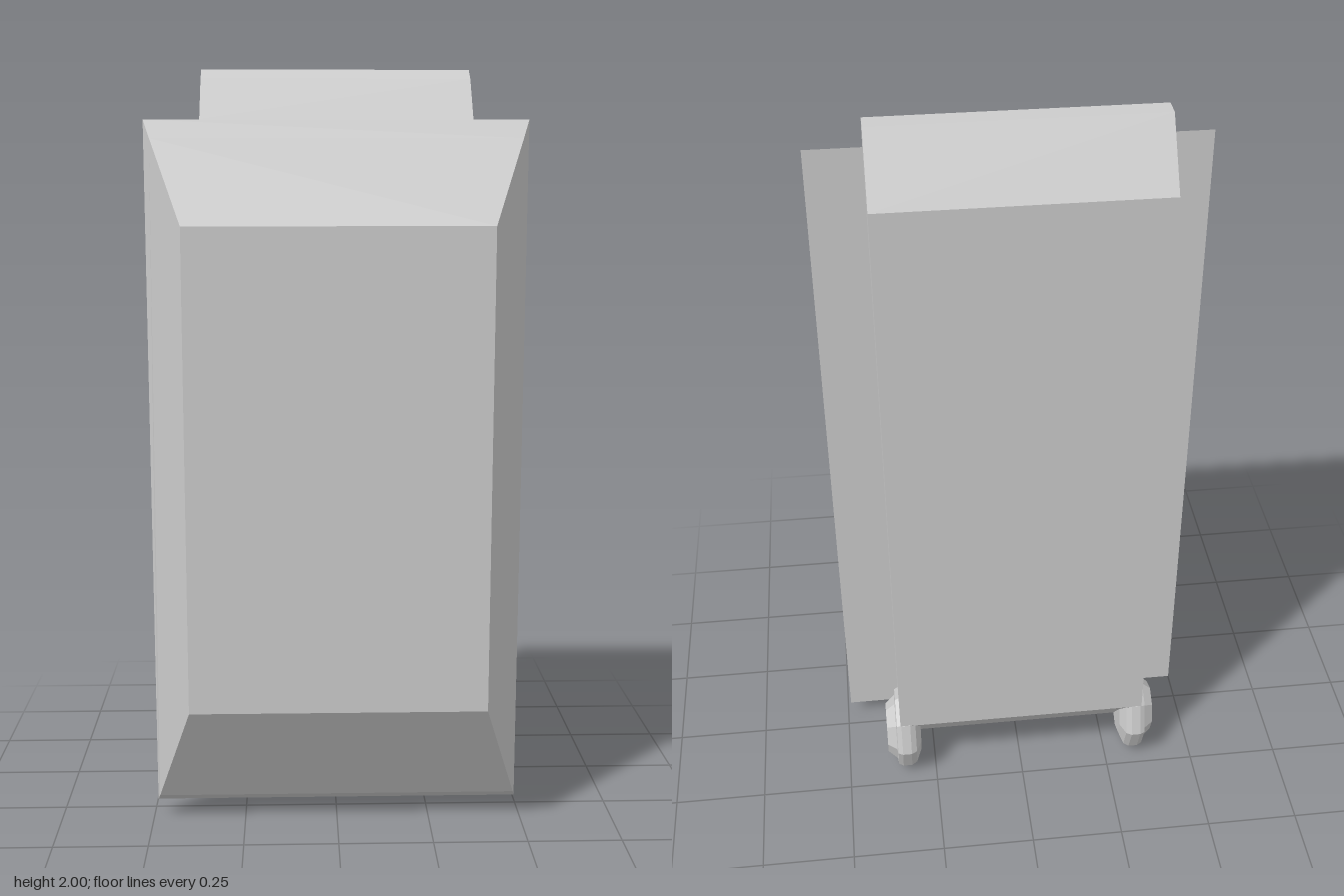
import * as THREE from 'three';

const material = new THREE.MeshStandardMaterial({ color: 0xcccccc, flatShading: true });

function addMesh(parent, name, geometry) {
  const mesh = new THREE.Mesh(geometry, material);
  mesh.name = name;
  parent.add(mesh);
  return mesh;
}

// Side profile (z, y) swept across the width
function bodyGeometry() {
  const profile = [
    [0.045, 0.045], [0.045, 1.87], [-0.04, 1.975], [-0.08, 2], [-0.13, 2],
    [-0.24, 1.845], [-0.225, 0.21], [-0.11, 0.07], [-0.05, 0.06], [-0.05, 0.03],
  ];
  const shape = new THREE.Shape(profile.map(([z, y]) => new THREE.Vector2(z, y)));
  const width = 0.695;
  return new THREE.ExtrudeGeometry(shape, { depth: width, bevelEnabled: false })
    .translate(0, 0, -width / 2)
    .rotateY(-Math.PI / 2);
}

// Tapered front shell: rectangular rings from the rim to the front panel
function shellGeometry() {
  // each ring: half width at bottom, bottom y, bottom z, half width at top, top y, top z
  const rings = [
    [0.49, 0.045, 0.045, 0.49, 1.87, 0.045],
    [0.482, 0.07, 0.08, 0.472, 1.823, 0.08],
    [0.387, 0.365, 0.25, 0.387, 1.61, 0.24],
  ];
  const positions = [];
  for (const [bw, by, bz, tw, ty, tz] of rings) {
    positions.push(-bw, by, bz, bw, by, bz, tw, ty, tz, -tw, ty, tz);
  }
  const index = [0, 2, 1, 0, 3, 2, 8, 9, 10, 8, 10, 11];
  for (let r = 0; r < 2; r++) {
    for (let i = 0; i < 4; i++) {
      const a = r * 4 + i, b = r * 4 + (i + 1) % 4;
      // the left and right sides fold along mirrored diagonals
      if (i === 3) index.push(a, b, b + 4, a, b + 4, a + 4);
      else index.push(a, b, a + 4, b, b + 4, a + 4);
      if (i === 1) index.splice(-6, 6, a, b, b + 4, a, b + 4, a + 4);
      if (i === 3) index.splice(-6, 6, a, b, a + 4, b, b + 4, a + 4);
    }
  }
  const geometry = new THREE.BufferGeometry();
  geometry.setAttribute('position', new THREE.Float32BufferAttribute(positions, 3));
  geometry.setIndex(index);
  const flat = geometry.toNonIndexed();
  flat.computeVertexNormals();
  return flat;
}

// Eight-sided wheel with a tapered hub, axis along x
function wheelGeometry(side) {
  const profile = [
    [0, 0.29], [0.6, 0.29], [0.92, 0.305], [1, 0.32], [1, 0.345],
    [0.94, 0.358], [0.8, 0.36], [0.6, 0.386], [0, 0.386],
  ].map(([r, x]) => new THREE.Vector2(r, x));
  return new THREE.LatheGeometry(profile, 8, -0.1 * side)
    .rotateZ(-side * Math.PI / 2)
    .scale(1, 0.128, 0.1);
}

export function createModel() {
  const model = new THREE.Group();
  model.name = 'suitcase';
  addMesh(model, 'body', bodyGeometry());
  addMesh(model, 'frontShell', shellGeometry());
  for (const side of [1, -1]) {
    const wheel = addMesh(model, side > 0 ? 'leftWheel' : 'rightWheel', wheelGeometry(side));
    wheel.position.set(0, 0.13, -0.148);
  }
  return model;
}
